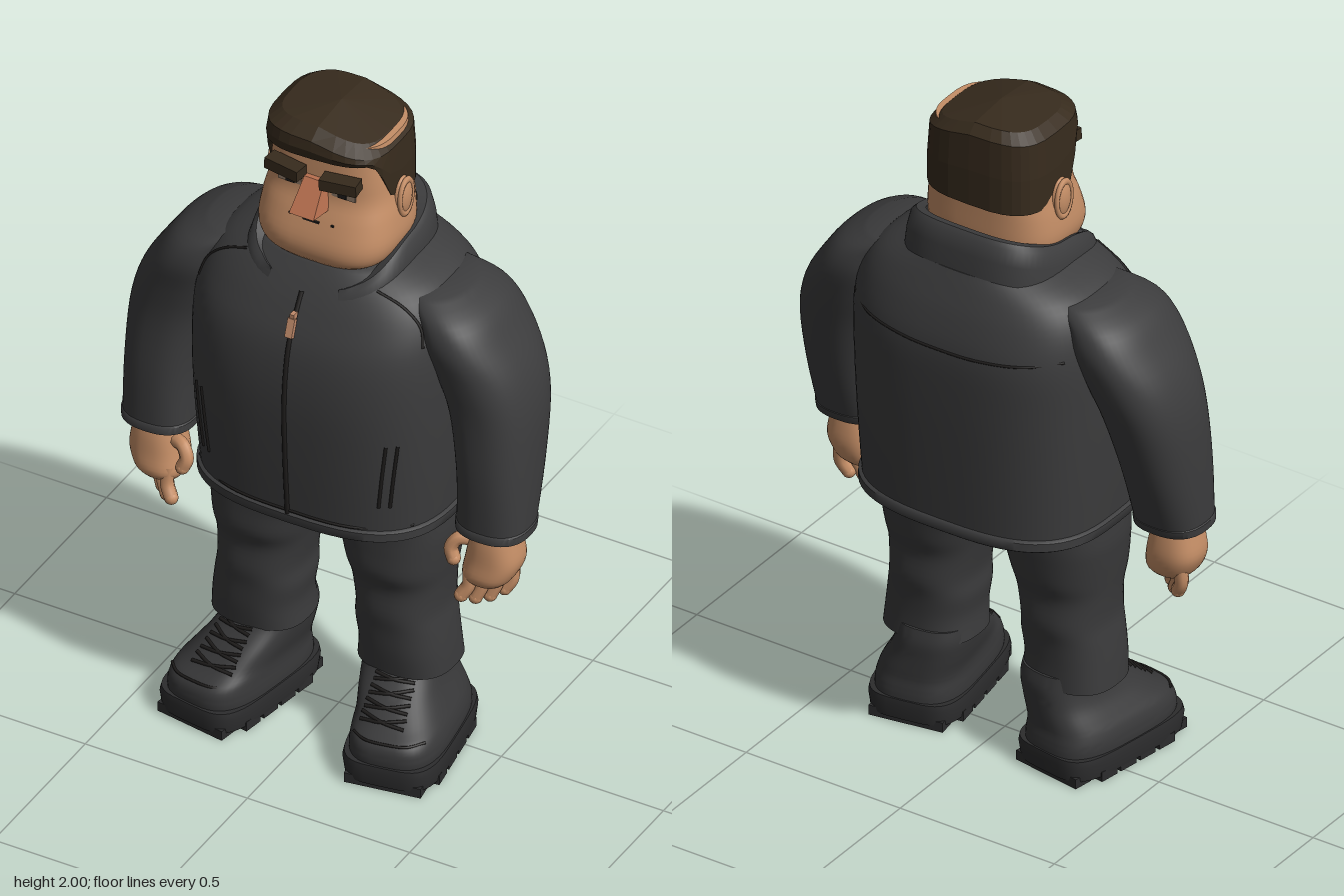
import * as THREE from 'three';
import { toCreasedNormals } from 'three/addons/utils/BufferGeometryUtils.js';

const mat = (name, color, extra = {}) => new THREE.MeshStandardMaterial({ name, color, ...extra });

// Grid surface from f(i, j); i runs around, j runs upward on the outside
function surface(nu, nv, f, crease = 0.7) {
  const pos = [], idx = [];
  for (let j = 0; j <= nv; j++) for (let i = 0; i <= nu; i++) pos.push(...f(i, j));
  for (let j = 0; j < nv; j++) for (let i = 0; i < nu; i++) {
    const a = j * (nu + 1) + i, b = a + 1, c = a + nu + 1, d = c + 1;
    idx.push(a, c, b, b, c, d);
  }
  const g = new THREE.BufferGeometry();
  g.setAttribute('position', new THREE.Float32BufferAttribute(pos, 3));
  g.setIndex(idx);
  return toCreasedNormals(g, crease);
}

// Sections are [y, centre x, half width, back z, front z, squareness]
function dense(secs, k = 4) {
  const out = [], n = secs.length;
  for (let i = 0; i < n - 1; i++) for (let q = 0; q < k; q++) {
    const t = q / k, P = [i - 1, i, i + 1, i + 2].map(m => secs[Math.min(n - 1, Math.max(0, m))]);
    out.push(P[1].map((_, c) => {
      const [a, b, d, e] = P.map(p => p[c]);
      return b + 0.5 * t * (d - a + t * (2 * a - 5 * b + 4 * d - e + t * (3 * (b - d) + e - a)));
    }));
  }
  out.push(secs[n - 1]);
  return out;
}
const power = (c, n) => Math.sign(c) * Math.abs(c) ** (2 / n);
function ring(s, a, k = 1) {
  const [y, cx, rx, zb, zf, n] = s;
  return [cx + k * rx * power(Math.cos(a), n), y, (zb + zf) / 2 + k * (zf - zb) / 2 * power(Math.sin(a), n)];
}
function loft(secs, nu = 48, crease = 0.9) {
  const rows = secs.length;
  return surface(nu, rows + 1, (i, j) =>
    ring(secs[Math.min(rows - 1, Math.max(0, j - 1))], (i % nu) / nu * Math.PI * 2, j === 0 || j === rows + 1 ? 0 : 1), crease);
}
// Depth of a lofted form at x, y on its front (1) or back (-1)
function depth(secs, x, y, side = 1) {
  let i = 0;
  while (i < secs.length - 2 && secs[i + 1][0] < y) i++;
  const t = (y - secs[i][0]) / (secs[i + 1][0] - secs[i][0]);
  const [, cx, rx, zb, zf, n] = secs[i].map((v, c) => v + (secs[i + 1][c] - v) * t);
  const w = Math.max(0, 1 - Math.abs((x - cx) / rx) ** n) ** (1 / n);
  return (zb + zf) / 2 + side * w * (zf - zb) / 2;
}
const mirror = (secs, s) => secs.map(([y, cx, ...r]) => [y, cx * s, ...r]);

export function createModel() {
  const root = new THREE.Group();
  root.name = 'standingMan';
  const skin = mat('skin', 0xc68f67), noseSkin = mat('noseSkin', 0xb8704f), hairMat = mat('hair', 0x372b1d, { flatShading: true });
  const cloth = mat('jacketCloth', 0x3c3c3d, { side: THREE.DoubleSide }), trouser = mat('trouserCloth', 0x3a3a3b);
  const leather = mat('shoeLeather', 0x373738), rubber = mat('rubber', 0x2c2c2d), dark = mat('darkTrim', 0x1d1b1a);
  const copper = mat('copper', 0xc08a6a), eyeMat = mat('eye', 0x8f7a68);
  const add = (name, geo, m, parent = root) => {
    const o = new THREE.Mesh(geo, m);
    o.name = name;
    parent.add(o);
    return o;
  };
  const box = (name, size, p, m, parent) => {
    const o = add(name, new THREE.BoxGeometry(...size), m, parent);
    o.position.set(...p);
    return o;
  };
  const tube = (name, pts, r, m, parent) => add(name, new THREE.TubeGeometry(
    new THREE.CatmullRomCurve3(pts.map(p => new THREE.Vector3(...p))), pts.length * 5, r, 8), m, parent);

  // Jacket body and hem
  const torso = dense([
    [0.79, 0, 0.365, -0.305, 0.28, 2.9], [1.0, 0, 0.38, -0.315, 0.295, 2.9], [1.2, 0, 0.388, -0.322, 0.3, 2.9],
    [1.35, 0, 0.388, -0.32, 0.28, 2.9], [1.45, 0, 0.37, -0.295, 0.235, 2.8], [1.52, 0, 0.32, -0.265, 0.19, 2.7],
    [1.57, 0, 0.22, -0.24, 0.15, 2.6]]);
  add('jacketBody', loft(torso, 64), cloth);
  add('jacketHem', loft([[0.78, 0, 0.37, -0.308, 0.283, 2.9], [0.785, 0, 0.376, -0.314, 0.289, 2.9],
    [0.81, 0, 0.376, -0.314, 0.289, 2.9], [0.816, 0, 0.368, -0.307, 0.281, 2.9]], 64), cloth);
  const seam = (name, pts, side = 1, r = 0.004) =>
    tube(name, pts.map(([x, y]) => [x, y, depth(torso, x, y, side)]), r, dark);
  seam('zipper', [1.5, 1.42, 1.35, 1.2, 1.0, 0.8].map(y => [0, y]), 1, 0.007);
  seam('backYokeSeam', [-0.34, -0.25, -0.12, 0, 0.12, 0.25, 0.34].map(x => [x, 1.36 + 0.2 * x * x]), -1);
  seam('hemSeam', [-0.33, -0.2, 0, 0.2, 0.33].map(x => [x, 0.822]));
  box('zipperPull', [0.022, 0.055, 0.014], [0, 1.415, depth(torso, 0, 1.415) + 0.01], copper).rotation.x = -0.35;
  box('zipperTab', [0.013, 0.03, 0.02], [0, 1.44, depth(torso, 0, 1.44) + 0.008], copper);

  // Standing collar, open at the front
  const gap = 0.3;
  add('collar', surface(56, 6, (i, j) => {
    const a = Math.PI / 2 + gap + i / 56 * (Math.PI * 2 - 2 * gap), s = Math.sin(a);
    const top = 1.625 - 0.08 * s - 0.02 * s * s, low = 1.52 - 0.05 * s;
    const th = 0.036 * Math.min(1, 0.1 + Math.min(i, 56 - i) / 3);
    const [y, off] = [[low, 0.016], [(top + low) / 2, 0.01], [top - 0.012, 0], [top, -0.35 * th],
      [top - 0.006, -th], [low, -th - 0.005], [low, 0.016]][j];
    return ring([y, 0, 0.222 + off, -0.222 - off, 0.195 + off, 3.2], a);
  }), cloth);

  // Head
  const head = dense([
    [1.5, 0, 0.13, -0.13, 0.1, 2.8], [1.555, 0, 0.155, -0.14, 0.14, 3], [1.59, 0, 0.188, -0.15, 0.168, 3.1],
    [1.64, 0, 0.203, -0.155, 0.172, 3.1], [1.71, 0, 0.198, -0.155, 0.15, 3.1], [1.77, 0, 0.187, -0.155, 0.127, 3.1],
    [1.84, 0, 0.181, -0.155, 0.122, 3.1], [1.95, 0, 0.17, -0.15, 0.115, 3.1]]);
  add('head', loft(head), skin);

  // Cropped hair: low at the back, raised along the forehead
  add('hair', surface(32, 5, (i, j) => {
    const a = (i % 32) / 32 * Math.PI * 2;
    const [x, , z] = ring([0, 0, 0.187, -0.175, 0.145, 3.2], a);
    const low = 1.745 + (0.155 + 0.05 * x) * THREE.MathUtils.smoothstep(z, 0.01, 0.115);
    const top = 1.985 - 0.2 * Math.max(0, x) - 0.06 * Math.max(0, -x - 0.1);
    const k = [0.85, 1, 1, 0.97, 0.8, 0][j];
    const y = [low + 0.004, low, (low + top) / 2 - 0.01, top - 0.022, top + 0.004, 2][j];
    return [x * k, y, (z + 0.015) * k - 0.015 + (j === 3 || j === 2 ? 0.012 * Math.max(0, z / 0.145) : 0)];
  }), hairMat);

  // Wedge nose
  const nose = new THREE.BoxGeometry(0.09, 0.1, 0.1);
  const np = nose.attributes.position;
  for (let i = 0; i < np.count; i++) {
    const up = np.getY(i) > 0, out = np.getZ(i) > 0;
    np.setXYZ(i, Math.sign(np.getX(i)) * (up ? 0.03 : out ? 0.038 : 0.047),
      up ? 1.83 : out ? 1.748 : 1.735, out ? (up ? 0.137 : 0.207) : 0.09);
  }
  nose.computeVertexNormals();
  add('nose', nose, noseSkin);
  box('mouth', [0.05, 0.006, 0.006], [0, 1.703, depth(head, 0, 1.703) + 0.001], dark);

  // Trousers: hips, then legs
  add('hips', loft(dense([[0.67, 0, 0.1, -0.1, 0.1, 2.5], [0.7, 0, 0.25, -0.16, 0.15, 2.8],
    [0.76, 0, 0.355, -0.175, 0.17, 2.8], [0.85, 0, 0.36, -0.18, 0.175, 2.8]])), trouser);
  const leg = dense([
    [0.26, 0.225, 0.138, -0.12, 0.13, 2.6], [0.33, 0.225, 0.132, -0.118, 0.138, 2.5], [0.4, 0.216, 0.132, -0.122, 0.142, 2.5],
    [0.46, 0.213, 0.127, -0.132, 0.148, 2.4], [0.54, 0.208, 0.137, -0.13, 0.145, 2.4], [0.6, 0.205, 0.147, -0.148, 0.165, 2.4],
    [0.67, 0.2, 0.16, -0.158, 0.165, 2.5], [0.73, 0.186, 0.178, -0.165, 0.165, 2.6], [0.82, 0.18, 0.178, -0.17, 0.17, 2.6]]);

  // Sleeve and hand sections
  const arm = dense([
    [0.82, 0.515, 0.103, -0.045, 0.15, 2.5], [1.0, 0.512, 0.108, -0.105, 0.15, 2.5], [1.18, 0.492, 0.122, -0.155, 0.142, 2.5],
    [1.3, 0.455, 0.13, -0.185, 0.15, 2.4], [1.4, 0.41, 0.115, -0.2, 0.16, 2.4], [1.47, 0.37, 0.1, -0.185, 0.14, 2.3],
    [1.515, 0.3, 0.09, -0.15, 0.09, 2.2]]);
  const palm = dense([
    [0.83, 0.52, 0.06, 0.0, 0.12, 2.4], [0.78, 0.52, 0.07, -0.01, 0.13, 2.4], [0.72, 0.518, 0.079, -0.015, 0.135, 2.5],
    [0.67, 0.505, 0.072, -0.005, 0.14, 2.5], [0.645, 0.5, 0.055, 0.015, 0.125, 2.4]].reverse());

  const shoe = dense([
    [0.06, 0, 0.133, -0.222, 0.22, 3.2], [0.1, 0, 0.134, -0.22, 0.222, 3.2], [0.135, -0.003, 0.128, -0.215, 0.21, 3.1],
    [0.165, -0.012, 0.12, -0.215, 0.165, 3], [0.21, -0.03, 0.112, -0.215, 0.11, 2.8],
    [0.26, -0.042, 0.107, -0.215, 0.05, 2.6], [0.3, -0.042, 0.103, -0.205, 0.025, 2.6]]);

  for (const [s, side] of [[1, 'left'], [-1, 'right']]) {
    // Face details
    const eye = (name, w, h, x, y, lift, m) => box(name, [w, h, 0.006], [s * x, y, depth(head, x, y) + lift], m);
    eye(side + 'Eye', 0.072, 0.026, 0.083, 1.797, 0.001, eyeMat);
    eye(side + 'Pupil', 0.026, 0.022, 0.08, 1.797, 0.004, dark);
    eye(side + 'EyeLid', 0.08, 0.008, 0.083, 1.812, 0.005, dark);
    eye(side + 'MouthCorner', 0.008, 0.005, 0.065, 1.705, 0.001, dark);
    box(side + 'Eyebrow', [0.108, 0.034, 0.045], [s * 0.085, 1.846, 0.143], hairMat).rotation.set(0, s * 0.12, s * 0.04);
    const ear = add(side + 'Ear', new THREE.SphereGeometry(1, 20, 14), skin);
    ear.scale.set(0.025, 0.062, 0.038);
    ear.position.set(s * 0.187, 1.75, -0.012);
    const rim = add(side + 'EarRim', new THREE.TorusGeometry(0.034, 0.007, 8, 24), skin);
    rim.rotation.y = Math.PI / 2;
    rim.scale.y = 1.55;
    rim.position.set(s * 0.2, 1.75, -0.012);

    // Sleeve, cuff and jacket seams
    add(side + 'Sleeve', loft(mirror(arm, s)), cloth);
    add(side + 'Cuff', loft(mirror([[0.81, 0.515, 0.098, -0.04, 0.145, 2.5], [0.815, 0.515, 0.106, -0.048, 0.153, 2.5],
      [0.838, 0.515, 0.107, -0.053, 0.154, 2.5], [0.844, 0.515, 0.1, -0.047, 0.148, 2.5]], s)), cloth);
    seam(side + 'ShoulderSeam', [[s * 0.2, 1.535], [s * 0.28, 1.5], [s * 0.33, 1.45], [s * 0.345, 1.4]]);
    for (const d of [-0.013, 0.013])
      seam(side + 'PocketEdge', [1.11, 1.0, 0.9].map(y => [s * (0.175 + 0.11 * y + d), y]), 1, 0.005);

    // Hand with four fingers and a thumb
    const hand = new THREE.Group();
    hand.name = side + 'Hand';
    root.add(hand);
    add('palm', loft(mirror(palm, s), 32), skin, hand);
    for (let i = 0; i < 4; i++) {
      const x = 0.552 - i * 0.029, z = 0.025 + i * 0.028, tip = 0.6 - 0.014 * (i === 1 || i === 2);
      tube('finger', [[s * x, 0.69, z], [s * x, 0.635, z + 0.006], [s * (x - 0.018), tip, z + 0.016]], 0.02, skin, hand);
      add('fingerTip', new THREE.SphereGeometry(0.02, 12, 8), skin, hand).position.set(s * (x - 0.018), tip, z + 0.016);
    }
    tube('thumb', [[s * 0.47, 0.765, 0.08], [s * 0.425, 0.765, 0.1], [s * 0.408, 0.735, 0.11], [s * 0.418, 0.705, 0.115]], 0.02, skin, hand);
    add('thumbTip', new THREE.SphereGeometry(0.02, 12, 8), skin, hand).position.set(s * 0.418, 0.705, 0.115);

    add(side + 'TrouserLeg', loft(mirror(leg, s)), trouser);

    // Shoe, turned slightly outward
    const foot = new THREE.Group();
    foot.name = side + 'Shoe';
    foot.position.set(s * 0.262, 0, 0.073);
    foot.rotation.y = s * 0.16;
    root.add(foot);
    add('upper', loft(mirror(shoe, s)), leather, foot);
    add('sole', loft([[0.015, 0, 0.137, -0.222, 0.226, 4.2], [0.06, 0, 0.142, -0.228, 0.232, 4.2],
      [0.078, 0, 0.138, -0.226, 0.228, 4.2]]), rubber, foot);
    for (let i = 0; i < 6; i++)
      box('tread', [i % 5 ? 0.272 : 0.22, 0.03, 0.06], [0, 0.015, -0.185 + i * 0.075], rubber, foot);
    tube('toeSeam', [-0.1, -0.06, 0, 0.06, 0.1].map(x => [x, 0.14, depth(shoe, x, 0.14)]), 0.004, dark, foot);
    for (let i = 0; i < 4; i++) {
      const y = 0.175 + i * 0.026, w = 0.065 - i * 0.003;
      for (const d of [-1, 1])
        tube('lace', [-w, 0, w].map(x => {
          const yy = y + d * x * 0.12;
          return [x - s * 0.025, yy, depth(shoe, s * x - 0.025, yy) + 0.004];
        }), 0.005, dark, foot);
    }
  }
  return root;
}
